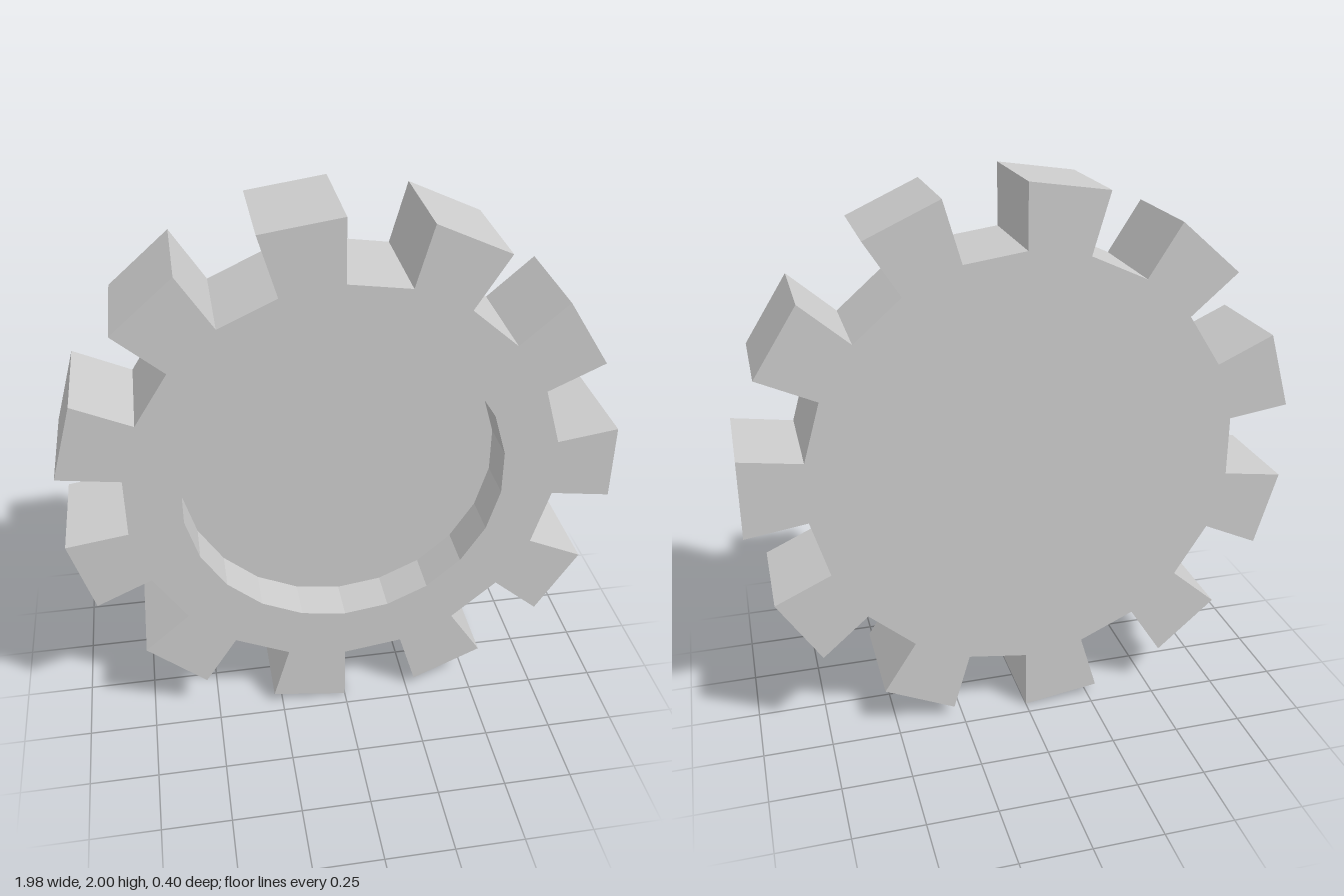
import * as THREE from 'three';

const TEETH = 11, STEPS = TEETH * 2;
const OUTER = 1, ROOT = 0.777, RECESS = 0.58;
const HALF = 0.2, FLOOR = 0.04; // half thickness, z of the recess floor

const polar = (r, k) => {
  const a = Math.PI / 2 + (k / STEPS) * Math.PI * 2;
  return new THREE.Vector2(r * Math.cos(a), r * Math.sin(a));
};

export function createModel() {
  const group = new THREE.Group();
  group.name = 'gear';
  const material = new THREE.MeshStandardMaterial({ color: 0xcccccc, flatShading: true });

  // Toothed outline: tooth on even steps, gap on odd steps, radial flanks
  const outline = [], hole = [];
  for (let k = 0; k < STEPS; k++) {
    const pair = k % 2 === 0 ? [ROOT, OUTER] : [OUTER, ROOT];
    outline.push(...pair.map((r) => polar(r, k)));
    hole.push(polar(RECESS, -k));
  }
  const shape = new THREE.Shape(outline);
  shape.holes.push(new THREE.Path(hole));

  // Toothed ring
  const ringGeometry = new THREE.ExtrudeGeometry(shape, { depth: HALF * 2, bevelEnabled: false });
  ringGeometry.translate(0, 0, -HALF);
  const ring = new THREE.Mesh(ringGeometry, material);
  ring.name = 'toothedRing';

  // Web closing the back, its front face is the recess floor
  const webGeometry = new THREE.CylinderGeometry(RECESS, RECESS, FLOOR + HALF, STEPS);
  webGeometry.rotateX(Math.PI / 2);
  webGeometry.translate(0, 0, (FLOOR - HALF) / 2);
  const web = new THREE.Mesh(webGeometry, material);
  web.name = 'web';

  group.add(ring, web);
  for (const part of group.children) part.position.y = OUTER;
  return group;
}
